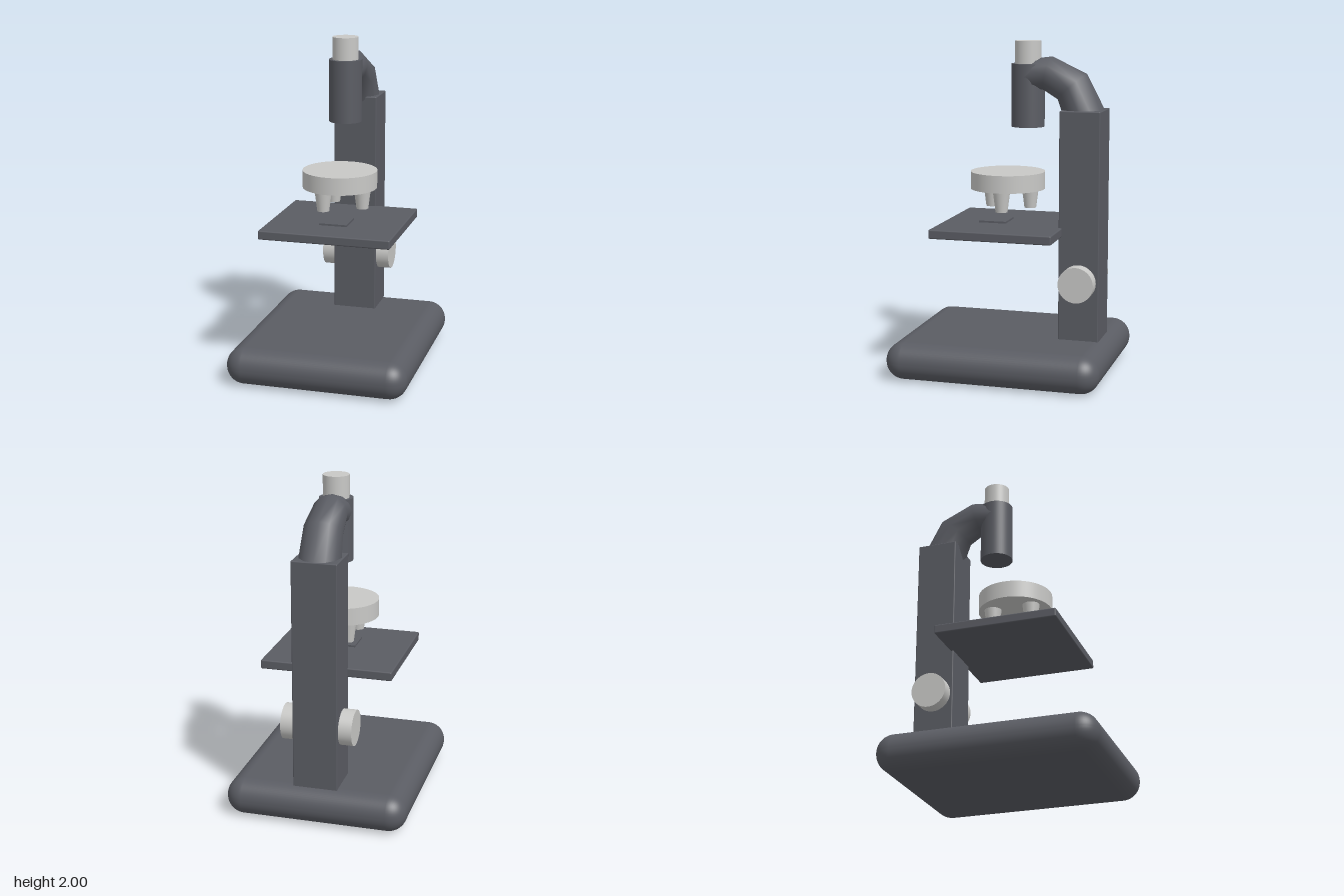
import * as THREE from 'three';
import { RoundedBoxGeometry } from 'three/addons/geometries/RoundedBoxGeometry.js';

const dark = new THREE.MeshStandardMaterial({ color: 0x5a5c63 });
dark.name = 'dark grey body';
const light = new THREE.MeshStandardMaterial({ color: 0xc8c8c6 });
light.name = 'light grey metal';

// Tapered tube through rings given as [z, y, radius, tilt], swept in the yz plane
function sweptArm(rings, sides) {
  const pos = [], idx = [];
  for (const [z, y, r, tilt] of rings) {
    for (let i = 0; i < sides; i++) {
      const a = (i / sides) * Math.PI * 2;
      const up = Math.cos(a) * r; // towards the outside of the bend
      pos.push(Math.sin(a) * r, y + up * Math.cos(tilt), z - up * Math.sin(tilt));
    }
  }
  for (let k = 0; k < rings.length - 1; k++) {
    for (let i = 0; i < sides; i++) {
      const j = (i + 1) % sides;
      const a = k * sides + i, b = k * sides + j, c = a + sides, d = b + sides;
      idx.push(a, c, b, b, c, d);
    }
  }
  const g = new THREE.BufferGeometry();
  g.setAttribute('position', new THREE.Float32BufferAttribute(pos, 3));
  g.setIndex(idx);
  g.computeVertexNormals();
  return g;
}

export function createModel() {
  const model = new THREE.Group();
  model.name = 'microscope';

  function add(name, geometry, material, x, y, z) {
    const mesh = new THREE.Mesh(geometry, material);
    mesh.name = name;
    mesh.position.set(x, y, z);
    model.add(mesh);
    return mesh;
  }
  const cylinder = (top, bottom, height, sides = 48) =>
    new THREE.CylinderGeometry(top, bottom, height, sides);

  // Foot and upright
  add('base', new RoundedBoxGeometry(1.1, 0.225, 1.3, 6, 0.11), dark, 0, 0.1125, 0);
  add('column', new RoundedBoxGeometry(0.27, 1.4, 0.245, 2, 0.006), dark, 0, 0.9, -0.4475);

  // Curved arm from the column to the viewing tube
  const armMaterial = dark.clone();
  armMaterial.side = THREE.DoubleSide;
  add('arm', sweptArm([
    [-0.4475, 1.565, 0.127, 1.29],
    [-0.372, 1.732, 0.117, 0.85],
    [-0.225, 1.808, 0.104, 0.25],
    [-0.1, 1.79, 0.1, -0.1],
  ], 12), armMaterial, 0, 0, 0);

  // Viewing tube and eyepiece
  add('viewingTube', cylinder(0.1, 0.1, 0.375), dark, 0, 1.6775, -0.1);
  add('eyepiece', cylinder(0.078, 0.078, 0.18), light, 0, 1.91, -0.1);

  // Turret with three objectives
  add('turret', cylinder(0.225, 0.225, 0.105, 64), light, 0, 1.1625, 0.025);
  for (let i = 0; i < 3; i++) {
    const a = (i / 3) * Math.PI * 2;
    add('objective' + (i + 1), cylinder(0.054, 0.036, 0.14, 32), light,
      Math.cos(a) * 0.14, 1.055, 0.025 + Math.sin(a) * 0.14);
  }

  // Stage with specimen plate
  add('stage', new RoundedBoxGeometry(0.8, 0.055, 0.745, 2, 0.008), dark, 0, 0.8775, 0.0275);
  add('specimenPlate', new THREE.BoxGeometry(0.17, 0.02, 0.17), dark, 0, 0.906, 0.1);

  // Focus knobs on both sides of the column
  for (const side of [-1, 1]) {
    const knob = add(side > 0 ? 'leftKnob' : 'rightKnob',
      cylinder(0.107, 0.107, 0.09), light, side * 0.17, 0.58, -0.4475);
    knob.rotation.z = Math.PI / 2;
  }

  return model;
}
